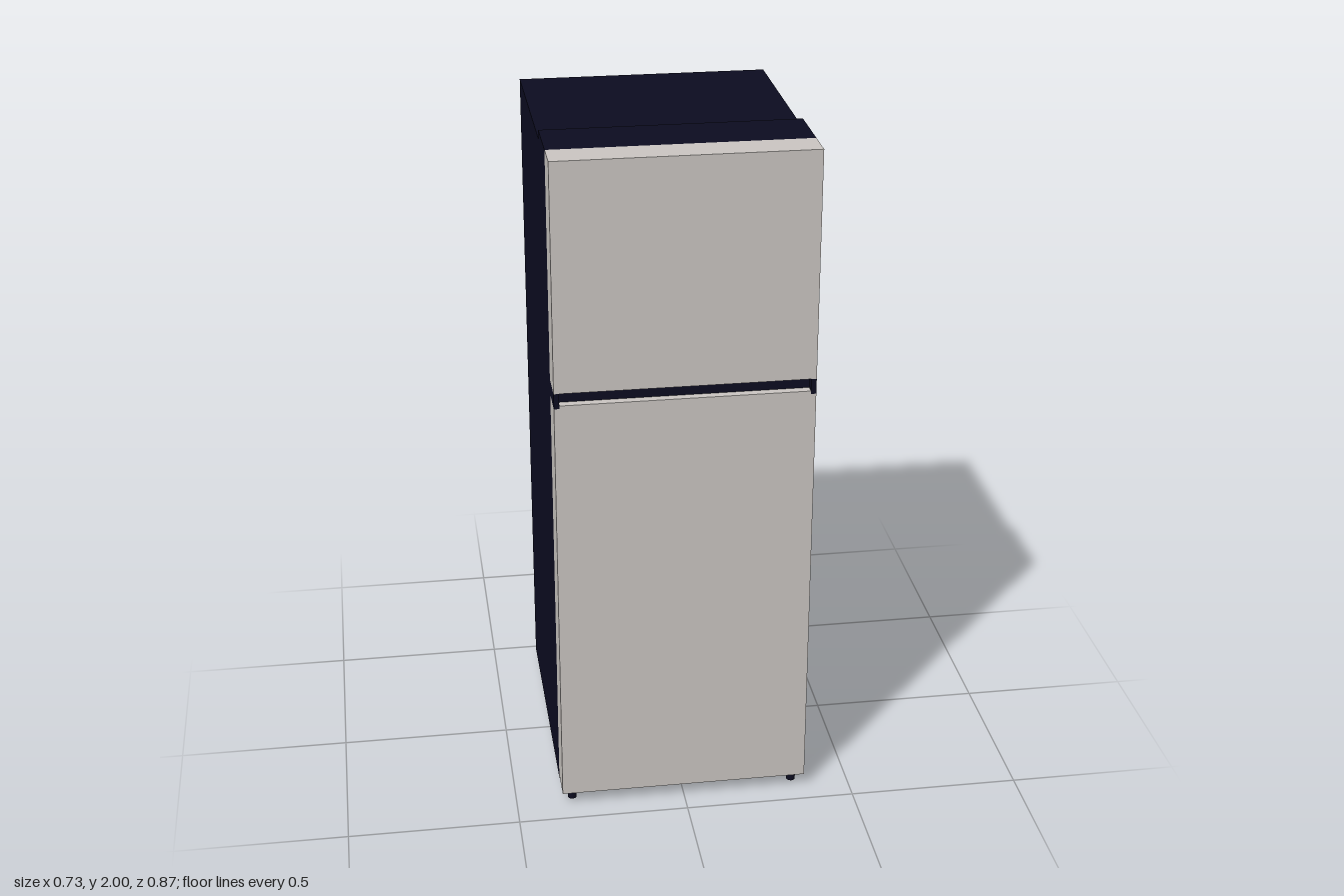
import * as THREE from 'three';

export function createModel() {
  const model = new THREE.Group();
  const silver = new THREE.MeshStandardMaterial({ color: 0xcbc6c2 });
  silver.name = 'silver door';
  const navy = new THREE.MeshStandardMaterial({ color: 0x0c0c20 });
  navy.name = 'dark navy';

  const W = 0.365, BACK = -0.433, SEAM = 0.333, FRONT = 0.433;

  // Box given by its min and max corners
  function box(name, material, x0, x1, y0, y1, z0, z1) {
    const mesh = new THREE.Mesh(new THREE.BoxGeometry(x1 - x0, y1 - y0, z1 - z0), material);
    mesh.position.set((x0 + x1) / 2, (y0 + y1) / 2, (z0 + z1) / 2);
    mesh.name = name;
    model.add(mesh);
  }

  // Cabinet with the raised hinge cover across its top
  box('cabinet', navy, -W, W, 0.03, 1.975, BACK, SEAM);
  box('hingeCover', navy, -W, W, 1.975, 2, 0.155, SEAM);

  // Doors
  box('freezerDoor', silver, -W, W, 1.34, 2, SEAM, FRONT);
  box('fridgeDoor', silver, -W, W, 0.04, 1.295, SEAM, FRONT);

  // Grip between the doors: recessed channel, flush end caps and a lip
  const cap = 0.015;
  box('gripChannel', navy, -W + cap, W - cap, 1.295, 1.34, SEAM, FRONT - 0.025);
  box('gripLip', silver, -W + cap, W - cap, 1.295, 1.304, FRONT - 0.025, FRONT);
  for (const s of [-1, 1]) {
    const a = s * W, b = s * (W - cap);
    box(s > 0 ? 'leftGripCap' : 'rightGripCap', navy,
      Math.min(a, b), Math.max(a, b), 1.295, 1.34, SEAM, FRONT);
  }

  // Feet; the front pair stands under the door
  for (const x of [-0.333, 0.333]) {
    for (const [name, z, h] of [['frontFoot', 0.39, 0.04], ['backFoot', -0.387, 0.03]]) {
      const foot = new THREE.Mesh(new THREE.CylinderGeometry(0.013, 0.013, h, 20), navy);
      foot.position.set(x, h / 2, z);
      foot.name = name;
      model.add(foot);
    }
  }
  return model;
}
